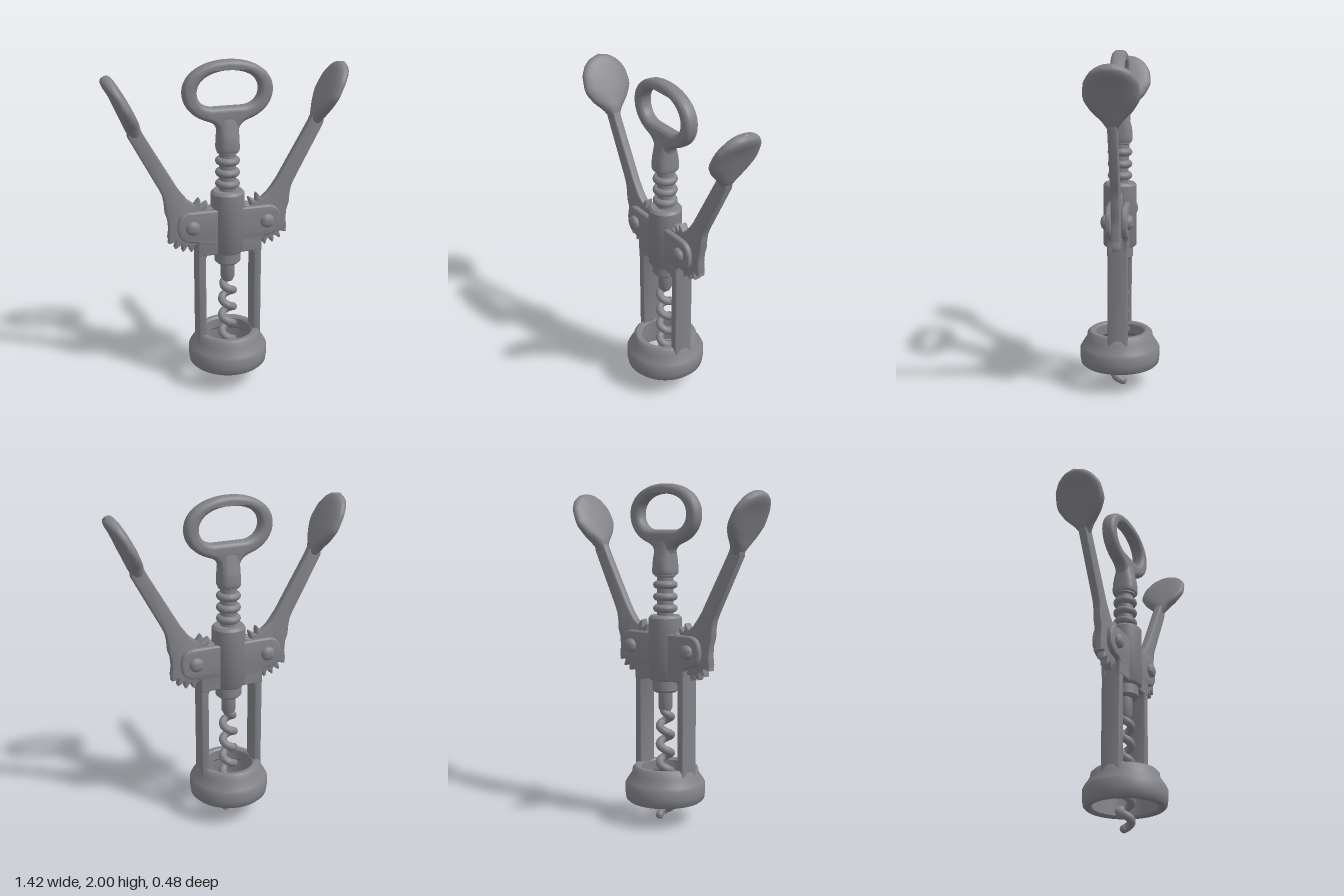
import * as THREE from 'three';
import { toCreasedNormals } from 'three/addons/utils/BufferGeometryUtils.js';

const steel = new THREE.MeshStandardMaterial({ color: 0x838388 });
steel.name = 'steel grey';

const part = (name, geometry, crease = 0.7) => {
  const mesh = new THREE.Mesh(toCreasedNormals(geometry, crease), steel);
  mesh.name = name;
  return mesh;
};
const points = (list) => list.map(([x, y]) => new THREE.Vector2(x, y));
const lathe = (name, list, segments = 48) =>
  part(name, new THREE.LatheGeometry(points(list), segments));

// Rounded-edge slab of total thickness t, centred on z = 0
function slab(name, shape, t, bevel, bevelSegments = 4) {
  const geometry = new THREE.ExtrudeGeometry(shape, {
    depth: t - 2 * bevel, bevelThickness: bevel, bevelSize: bevel,
    bevelOffset: -bevel, bevelSegments, curveSegments: 20,
  });
  return part(name, geometry.translate(0, 0, bevel - t / 2), 0.8);
}

// Solid swept along +y-ish sections [x, y, half width in z, half thickness]
function loft(name, sections, power, rings = 28, sides = 32) {
  const path = new THREE.CatmullRomCurve3(sections.map((s) => new THREE.Vector3(s[0], s[1], 0)));
  const sizes = new THREE.CatmullRomCurve3(sections.map((s) => new THREE.Vector3(s[2], s[3], 0)));
  const position = [], index = [];
  const soft = (v) => Math.sign(v) * Math.abs(v) ** power;
  for (let i = 0; i <= rings; i++) {
    const c = path.getPoint(i / rings), s = sizes.getPoint(i / rings), t = path.getTangent(i / rings);
    for (let j = 0; j < sides; j++) {
      const a = (j / sides) * Math.PI * 2;
      const w = Math.max(s.x, 0.002) * soft(Math.cos(a)), h = Math.max(s.y, 0.002) * soft(Math.sin(a));
      position.push(c.x + t.y * h, c.y - t.x * h, w);
      if (i === rings) continue;
      const p = i * sides + j, q = i * sides + ((j + 1) % sides);
      index.push(p, q, q + sides, p, q + sides, p + sides);
    }
  }
  const geometry = new THREE.BufferGeometry();
  geometry.setAttribute('position', new THREE.Float32BufferAttribute(position, 3));
  geometry.setIndex(index);
  return part(name, geometry, 1);
}

const PIVOT = [0.225, 1.045];

// Lever with toothed gear end and spoon-shaped paddle
function lever(name) {
  const group = new THREE.Group();
  group.name = name;
  const outline = [[0.575, 1.66], [0.51, 1.66], [0.487, 1.61], [0.3, 1.28], [0.268, 1.235], [0.24, 1.2]];
  for (let d = 99; d <= 328; d += 3) {
    const a = THREE.MathUtils.degToRad(d);
    const r = 0.148 + 0.02 * Math.cos(20 * a);
    outline.push([PIVOT[0] + r * Math.cos(a), PIVOT[1] + r * Math.sin(a)]);
  }
  outline.push([0.362, 0.98], [0.355, 1.03], [0.36, 1.09], [0.374, 1.13], [0.378, 1.19],
    [0.385, 1.23], [0.402, 1.27], [0.575, 1.6]);
  group.add(slab('leverArm', new THREE.Shape(points(outline)), 0.05, 0.008, 2));
  group.add(loft('leverPaddle', [
    [0.525, 1.6, 0.022, 0.03], [0.545, 1.65, 0.055, 0.042], [0.57, 1.71, 0.115, 0.042],
    [0.602, 1.78, 0.15, 0.04], [0.637, 1.85, 0.143, 0.037], [0.67, 1.905, 0.105, 0.036],
    [0.688, 1.932, 0.06, 0.028], [0.697, 1.947, 0.002, 0.004],
  ], 0.85));
  return group;
}

// Side plate with rounded ears
function plateShape() {
  const s = new THREE.Shape();
  s.moveTo(-0.195, 0.86);
  s.lineTo(0.195, 0.86);
  s.lineTo(0.195, 0.92);
  s.quadraticCurveTo(0.197, 0.95, 0.225, 0.952);
  s.quadraticCurveTo(0.312, 0.955, 0.312, 1.045);
  s.quadraticCurveTo(0.312, 1.138, 0.225, 1.138);
  s.lineTo(-0.225, 1.138);
  s.quadraticCurveTo(-0.312, 1.138, -0.312, 1.045);
  s.quadraticCurveTo(-0.312, 0.955, -0.225, 0.952);
  s.quadraticCurveTo(-0.197, 0.95, -0.195, 0.92);
  return s;
}

// Oval grip ring flowing into a neck
function handleShape() {
  const s = new THREE.Shape();
  s.moveTo(-0.058, 1.56);
  s.lineTo(0.058, 1.56);
  s.bezierCurveTo(0.06, 1.63, 0.08, 1.645, 0.13, 1.662);
  s.bezierCurveTo(0.21, 1.69, 0.262, 1.75, 0.262, 1.825);
  s.bezierCurveTo(0.262, 1.93, 0.15, 2, 0, 2);
  s.bezierCurveTo(-0.15, 2, -0.262, 1.93, -0.262, 1.825);
  s.bezierCurveTo(-0.262, 1.75, -0.21, 1.69, -0.13, 1.662);
  s.bezierCurveTo(-0.08, 1.645, -0.06, 1.63, -0.058, 1.56);
  const hole = new THREE.Path();
  hole.moveTo(-0.08, 1.737);
  hole.bezierCurveTo(-0.14, 1.735, -0.182, 1.775, -0.182, 1.825);
  hole.bezierCurveTo(-0.182, 1.9, -0.1, 1.942, 0, 1.942);
  hole.bezierCurveTo(0.1, 1.942, 0.182, 1.9, 0.182, 1.825);
  hole.bezierCurveTo(0.182, 1.775, 0.14, 1.735, 0.08, 1.737);
  hole.closePath();
  s.holes.push(hole);
  return s;
}

// Spiral screw
class Spiral extends THREE.Curve {
  getPoint(t, target = new THREE.Vector3()) {
    const y = 0.024 + 0.676 * t;
    const a = ((y - 0.59) / 0.111) * Math.PI * 2;
    const r = 0.034 * Math.min(1, (1 - t) / 0.1);
    return target.set(r * Math.cos(a), y, r * Math.sin(a));
  }
}

export function createModel() {
  const model = new THREE.Group();
  model.name = 'wingCorkscrew';

  // Hollow bell base
  model.add(lathe('bellBase', [
    [0.185, 0.24], [0.185, 0.14], [0.195, 0.13], [0.222, 0.13], [0.235, 0.143], [0.24, 0.18], [0.24, 0.23],
    [0.23, 0.25], [0.2, 0.295], [0.195, 0.325], [0.18, 0.34], [0.155, 0.34], [0.145, 0.33],
    [0.145, 0.27], [0.185, 0.24],
  ], 64));

  // Barrel and its lower collar
  model.add(lathe('barrel', [
    [0, 0.785], [0.065, 0.785], [0.077, 0.797], [0.077, 0.855], [0.09, 0.86], [0.098, 0.87],
    [0.098, 1.225], [0.085, 1.24], [0, 1.24],
  ]));

  // Ringed rack shaft
  const rack = [[0.048, 1.22]];
  for (const y of [1.28, 1.348, 1.418]) {
    for (let i = 0; i <= 8; i++) {
      const a = -Math.PI / 2 + (i / 8) * Math.PI;
      rack.push([0.048 + 0.024 * Math.cos(a), y + 0.023 * Math.sin(a)]);
    }
  }
  rack.push([0.048, 1.462], [0.062, 1.468], [0.062, 1.5], [0, 1.5]);
  model.add(lathe('rackShaft', rack));

  // Handle
  model.add(slab('handleRing', handleShape(), 0.084, 0.03, 6));
  model.add(loft('handleNeck', [
    [0, 1.475, 0.002, 0.002], [0, 1.478, 0.068, 0.062], [0, 1.5, 0.073, 0.066], [0, 1.55, 0.07, 0.064],
    [0, 1.61, 0.056, 0.062], [0, 1.67, 0.042, 0.06], [0, 1.7, 0.03, 0.05],
  ], 0.7));

  // Screw
  model.add(lathe('screwShank', [[0, 0.655], [0.03, 0.665], [0.042, 0.69], [0.042, 0.8]], 24));
  model.add(part('screwSpiral', new THREE.TubeGeometry(new Spiral(), 220, 0.024, 12), 1));
  const tip = part('screwTip', new THREE.SphereGeometry(0.024, 16, 12), 1);
  tip.position.copy(new Spiral().getPoint(0));
  model.add(tip);

  // Frame plates on both faces
  for (const side of [1, -1]) {
    const plate = slab(side > 0 ? 'frontPlate' : 'backPlate', plateShape(), 0.034, 0.01);
    plate.position.z = side * 0.045;
    model.add(plate);
  }

  // Legs, levers and rivets, one set per side
  for (const side of [1, -1]) {
    const label = side > 0 ? 'left' : 'right';
    const legShape = new THREE.Shape(points([
      [0.147, 0.3], [0.194, 0.3], [0.194, 0.93], [0.12, 0.93], [0.12, 0.866], [0.138, 0.86], [0.147, 0.842],
    ]));
    const half = new THREE.Group();
    half.name = label + 'Side';
    half.add(slab(label + 'Leg', legShape, 0.118, 0.008, 2), lever(label + 'Lever'));
    for (const face of [1, -1]) {
      const rivet = lathe(label + 'Rivet', [
        [0.042, 0], [0.042, 0.014], [0.037, 0.025], [0.026, 0.032], [0.012, 0.036], [0, 0.037],
      ], 24);
      rivet.rotation.x = face * Math.PI / 2;
      rivet.position.set(PIVOT[0], PIVOT[1], face * 0.057);
      half.add(rivet);
    }
    if (side < 0) half.rotation.y = Math.PI;
    model.add(half);
  }
  return model;
}
